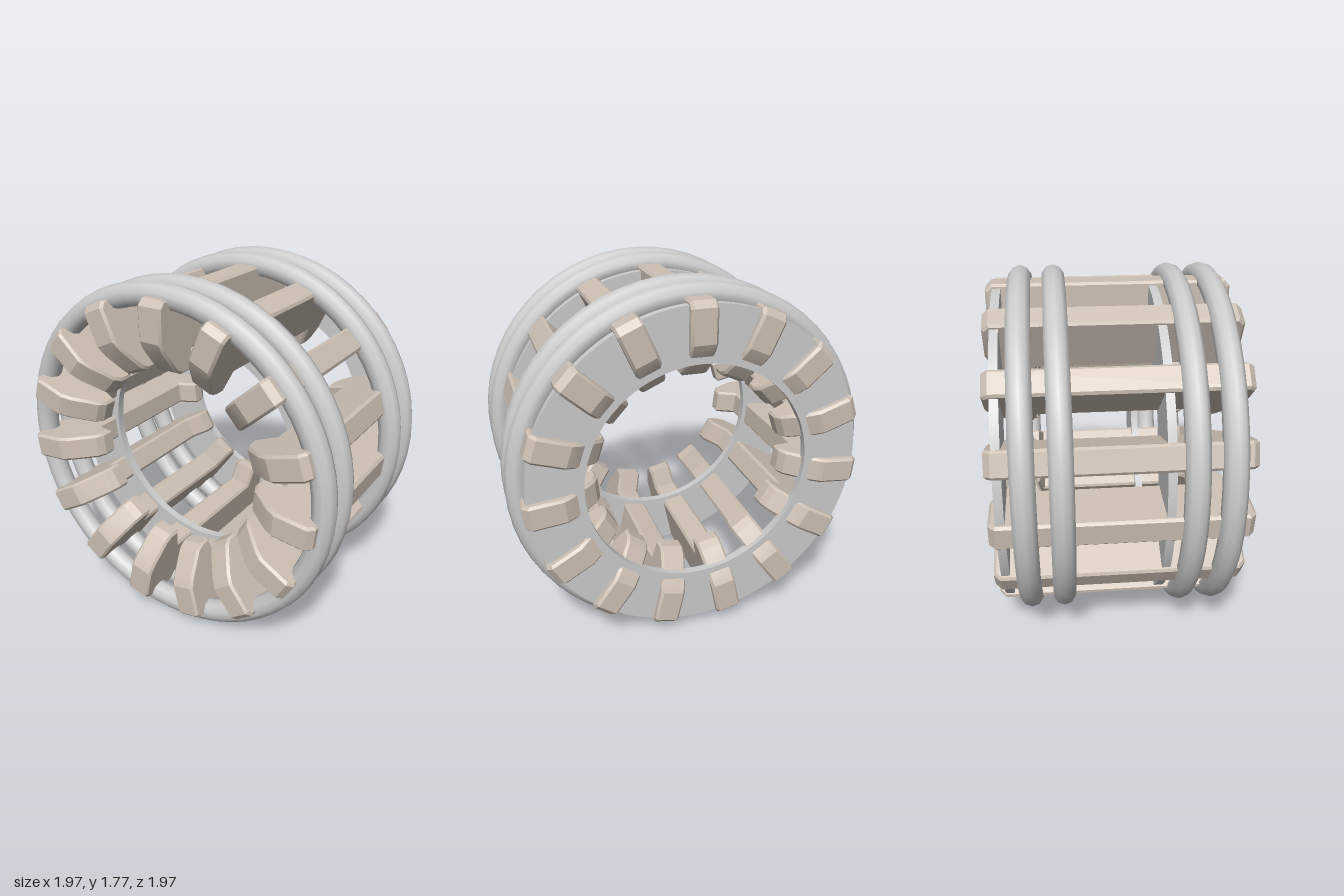
import * as THREE from 'three';
import { toCreasedNormals } from 'three/addons/utils/BufferGeometryUtils.js';

const COILS = 15;
const coilMat = new THREE.MeshStandardMaterial({ color: 0xcdc0b4 });
const greyMat = new THREE.MeshStandardMaterial({ color: 0xcccccc });

// C-shaped coil: a deep axial leg with an inward hook at each end
function coilGeometry() {
  const half = [[0.56, 0.83], [0.59, 0.8], [0.59, 0.64], [0.565, 0.59], [0.48, 0.48],
    [0.44, 0.46], [0.38, 0.46], [0.355, 0.565]];
  const mirrored = half.map(([s, r]) => [-s, r]).reverse();
  const shape = new THREE.Shape([...half, ...mirrored].map(([s, r]) => new THREE.Vector2(s, r)));
  const bevel = 0.012, width = 0.126;
  const geo = new THREE.ExtrudeGeometry(shape, {
    depth: width - 2 * bevel, bevelThickness: bevel, bevelSize: bevel,
    bevelOffset: -bevel, bevelSegments: 1,
  });
  geo.translate(0, 0, -width / 2 + bevel);
  geo.rotateY(-Math.PI / 2);
  return toCreasedNormals(geo, 0.4);
}

// Flat annular plate that holds the coils
function plateGeometry() {
  const shape = new THREE.Shape().absarc(0, 0, 0.813, 0, Math.PI * 2, false);
  shape.holes.push(new THREE.Path().absarc(0, 0, 0.545, 0, Math.PI * 2, true));
  const geo = new THREE.ExtrudeGeometry(shape, { depth: 0.04, bevelEnabled: false, curveSegments: 48 });
  geo.translate(0, 0, -0.02);
  return toCreasedNormals(geo, 0.5);
}

export function createModel() {
  const model = new THREE.Group();
  model.name = 'coilCage';

  // The cage lies on its side; its axis is local z
  const cage = new THREE.Group();
  cage.name = 'cage';
  cage.position.y = 0.885;
  cage.rotation.y = Math.PI * 0.75;
  model.add(cage);

  const add = (geo, mat, name, z = 0) => {
    const mesh = new THREE.Mesh(geo, mat);
    mesh.name = name;
    mesh.position.z = z;
    cage.add(mesh);
    return mesh;
  };

  // Coils around the axis, one at the very top
  const coil = coilGeometry();
  for (let i = 0; i < COILS; i++) {
    add(coil, coilMat, 'coil' + (i + 1)).rotation.z = (i / COILS) * Math.PI * 2;
  }

  // Two sets of one plate and two round hoops
  const plate = plateGeometry();
  const hoop = new THREE.TorusGeometry(0.828, 0.057, 10, 56);
  [0, 0.745].forEach((shift, i) => {
    add(plate, greyMat, 'plate' + (i + 1), -0.21 + shift);
    add(hoop, greyMat, 'outerHoop' + (i + 1), -0.48 + shift);
    add(hoop, greyMat, 'innerHoop' + (i + 1), -0.316 + shift);
  });

  return model;
}
